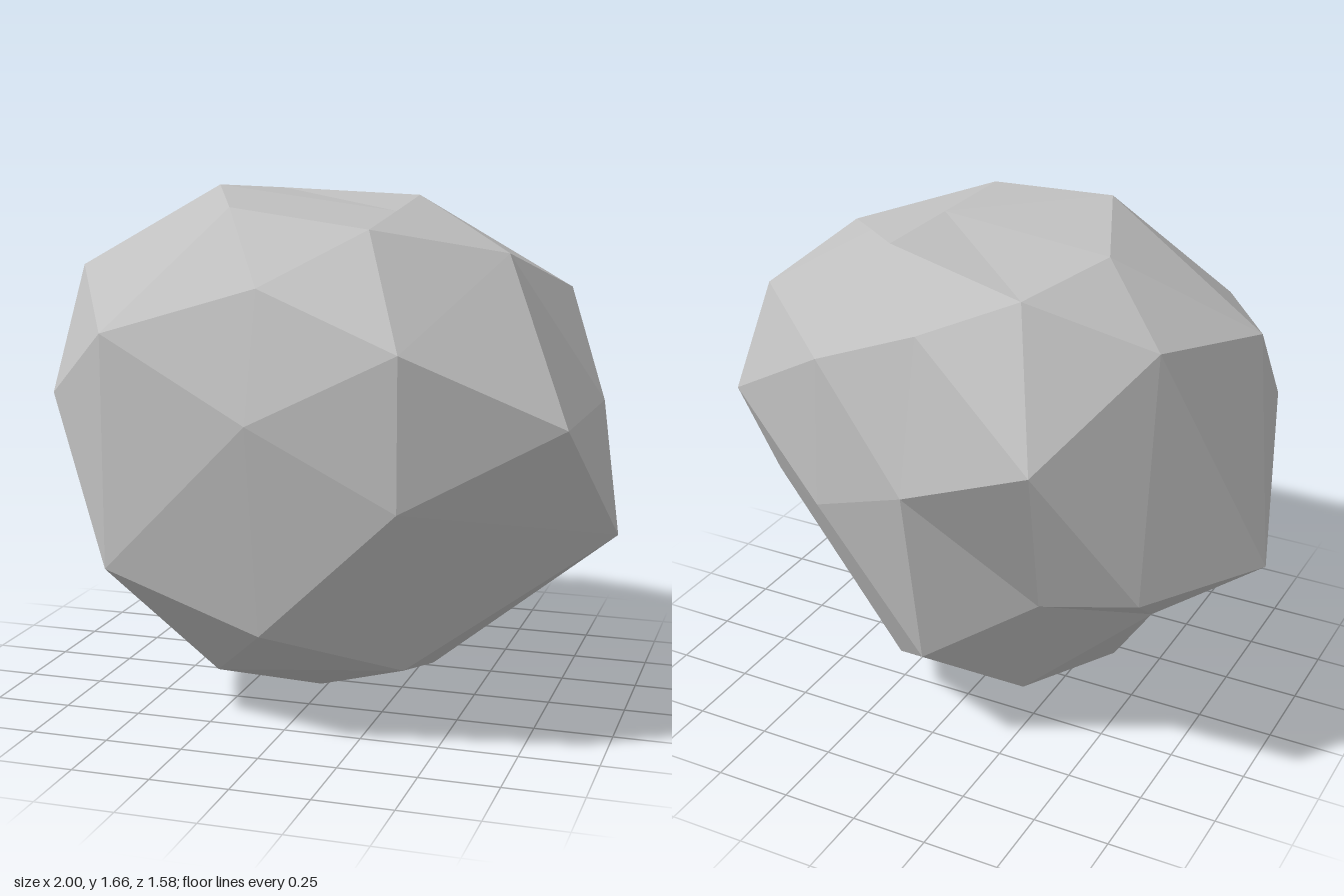
import * as THREE from 'three';
import { mergeVertices } from 'three/addons/utils/BufferGeometryUtils.js';

// Corner points of the boulder, level by level from the crown down.
// Within a level they run from +x through +z, -x and -z.
const LEVELS = [
  // crown
  [[0.235, 1.605, 0.06]],
  [[0.42, 1.56, -0.09], [-0.46, 1.66, -0.2]],
  [[0.26, 1.58, 0.46], [-0.21, 1.63, 0.38], [-0.35, 1.63, -0.56], [0.21, 1.63, -0.33]],
  // shoulders
  [[-0.02, 1.42, 0.68], [-0.02, 1.47, -0.59]],
  [[0.62, 1.49, 0.14], [-0.86, 1.4, 0.045], [-0.72, 1.49, -0.42], [0.76, 1.355, -0.19]],
  [[0.44, 1.26, 0.79], [-0.54, 1.26, 0.64], [-0.49, 1.21, -0.79], [0.35, 1.31, -0.56]],
  // waist
  [[0.91, 1.03, 0.04], [0.89, 1.03, 0.57], [-0.02, 1.03, 0.79], [-0.8, 1.03, 0.43],
    [-1, 0.75, -0.19], [-0.75, 0.75, -0.58], [-0.02, 0.985, -0.7], [0.8, 1.03, -0.35]],
  // underside
  [[0.44, 0.8, 0.79], [-0.54, 0.52, 0.64], [-0.39, 0.61, -0.51], [0.37, 0.8, -0.56]],
  [[1, 0.66, 0.28], [-0.61, 0.5, 0.42], [-0.64, 0.48, -0.2], [0.77, 0.66, -0.18]],
  [[-0.02, 0.36, 0.68], [-0.02, 0.36, -0.59]],
  // foot
  [[0.39, 0.24, 0.51], [-0.25, 0.15, 0.42], [-0.245, 0.15, -0.32], [0.22, 0.15, -0.32]],
  [[0.37, 0.115, 0.05], [-0.41, 0.115, 0.05]],
  [[-0.02, 0, 0.05]],
];

// Faceted sphere whose corners, sorted by height then by angle, move to the levels above
function boulderGeometry() {
  const sphere = new THREE.IcosahedronGeometry(1, 1);
  sphere.deleteAttribute('normal');
  sphere.deleteAttribute('uv');
  const geometry = mergeVertices(sphere, 1e-3);
  const position = geometry.attributes.position;

  const corners = [];
  for (let i = 0; i < position.count; i++) {
    const turn = Math.atan2(position.getZ(i), position.getX(i));
    corners.push({
      i,
      height: Math.round(position.getY(i) * 100),
      angle: (turn + 2 * Math.PI + 0.01) % (2 * Math.PI),
    });
  }
  corners.sort((a, b) => b.height - a.height || a.angle - b.angle);

  const points = LEVELS.flat();
  corners.forEach((corner, k) => position.setXYZ(corner.i, ...points[k]));

  const faceted = geometry.toNonIndexed();
  faceted.computeVertexNormals();
  return faceted;
}

export function createModel() {
  const stone = new THREE.MeshStandardMaterial({ color: 0xc0c0c0 });
  stone.name = 'stone grey';
  stone.flatShading = true;

  const boulder = new THREE.Mesh(boulderGeometry(), stone);
  boulder.name = 'boulder';

  const model = new THREE.Group();
  model.name = 'rock';
  model.add(boulder);
  return model;
}
